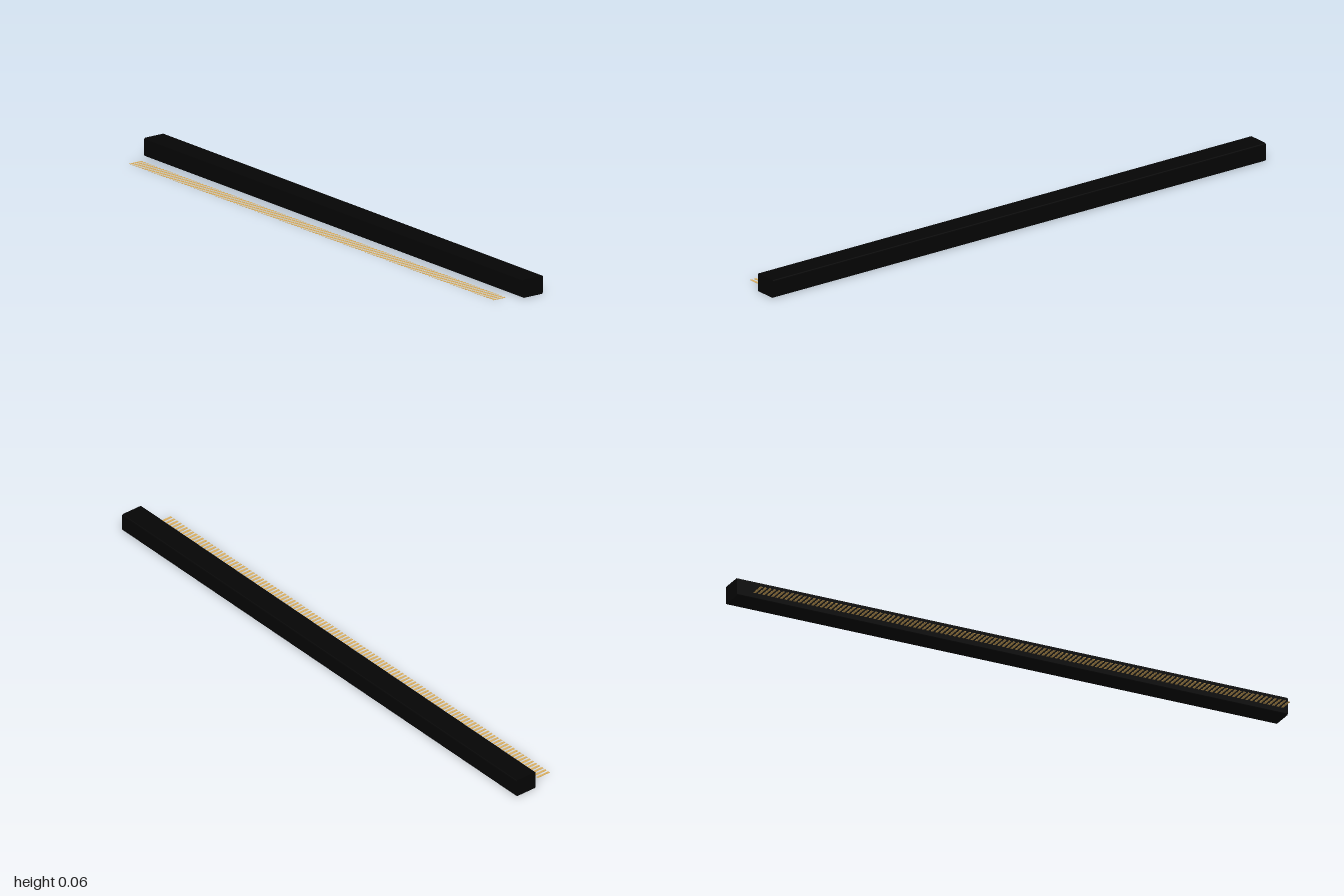
import * as THREE from 'three';

// Rounded rectangle centred on the origin
function roundedRect(w, h, r) {
  const s = new THREE.Shape();
  const x = w / 2, y = h / 2;
  s.moveTo(-x + r, -y);
  s.lineTo(x - r, -y);
  s.absarc(x - r, -y + r, r, -Math.PI / 2, 0, false);
  s.lineTo(x, y - r);
  s.absarc(x - r, y - r, r, 0, Math.PI / 2, false);
  s.lineTo(-x + r, y);
  s.absarc(-x + r, y - r, r, Math.PI / 2, Math.PI, false);
  s.lineTo(-x, -y + r);
  s.absarc(-x + r, -y + r, r, Math.PI, Math.PI * 1.5, false);
  return s;
}

export function createModel() {
  const model = new THREE.Group();
  model.name = 'connectorStrip';

  const black = new THREE.MeshStandardMaterial({ color: 0x050505 });
  black.name = 'black plastic';
  const gold = new THREE.MeshStandardMaterial({ color: 0xdcb060 });
  gold.name = 'gold';

  // Long housing with softened long edges
  const bodyGeometry = new THREE.ExtrudeGeometry(roundedRect(0.081, 0.062, 0.005), {
    depth: 2, bevelEnabled: false, curveSegments: 4,
  });
  bodyGeometry.translate(0, 0, -1);
  bodyGeometry.rotateY(Math.PI / 2);
  const body = new THREE.Mesh(bodyGeometry, black);
  body.name = 'housing';
  body.position.set(0, 0.031, -0.0455);
  model.add(body);

  // Row of flat contacts lying in front of the housing
  const contacts = new THREE.Group();
  contacts.name = 'contactRow';
  const count = 120, pitch = 0.0161;
  const contactGeometry = new THREE.BoxGeometry(0.008, 0.001, 0.05);
  for (let i = 0; i < count; i++) {
    const contact = new THREE.Mesh(contactGeometry, gold);
    contact.name = 'contact';
    contact.position.set((i - (count - 1) / 2) * pitch, 0.0005, 0.061);
    contacts.add(contact);
  }
  model.add(contacts);

  return model;
}
